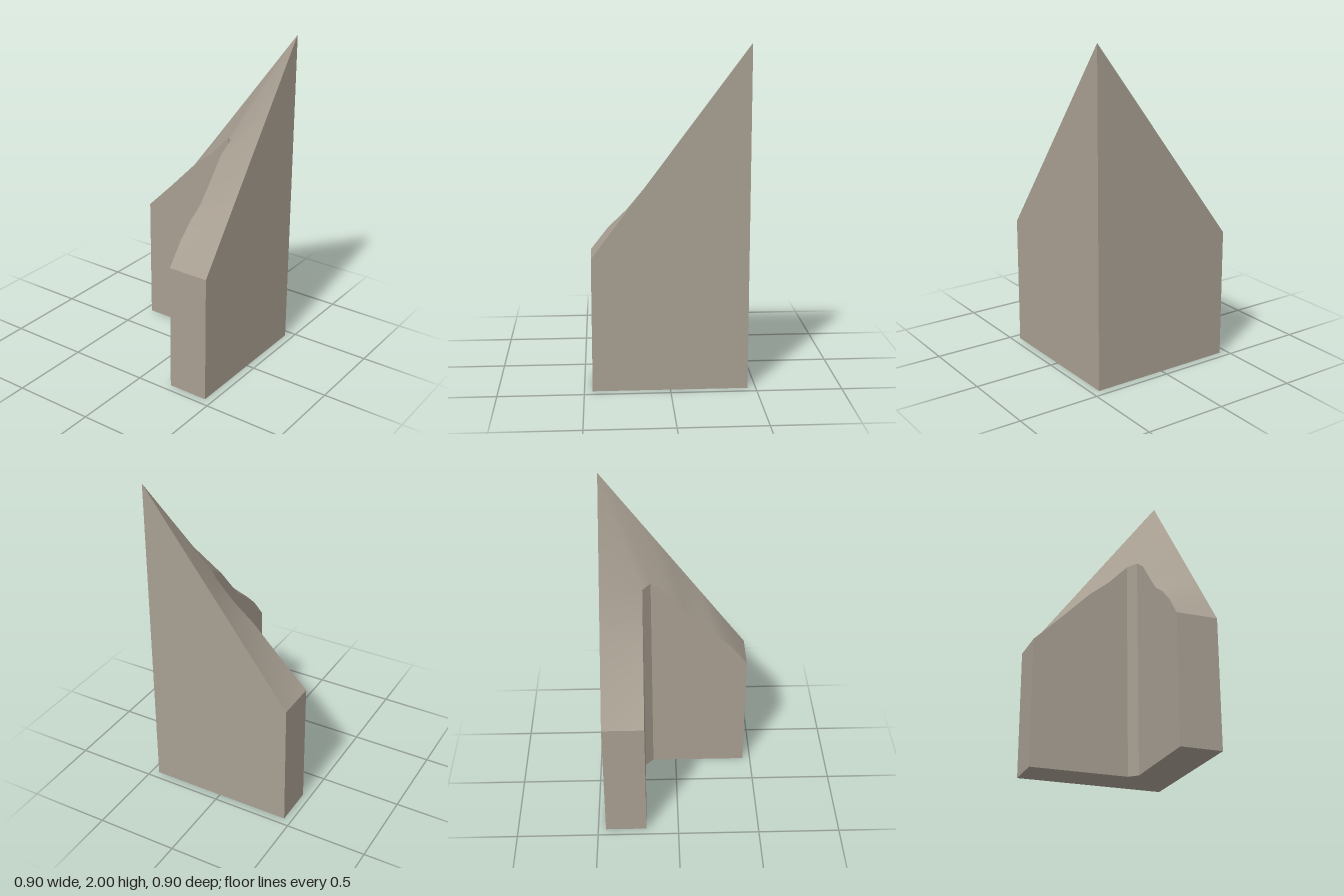
import * as THREE from 'three';
import { mergeVertices } from 'three/addons/utils/BufferGeometryUtils.js';

const HALF = 0.452, INNER = 0.2, END_Y = 0.79;
const outerY = (t) => END_Y + (2 - END_Y) * (t + HALF) / (2 * HALF);

// Height of the worn inner edge along each arm: [position along arm, y]
const SIDE_ARM = [[-HALF, 0.79], [-0.27, 0.97], [-0.1, 1.144], [0.03, 1.251], [0.15, 1.377]];
const FRONT_ARM = [[0.15, 1.39], [0.05, 1.322], [-0.05, 1.2], [-0.15, 1.083], [-0.25, 1.015], [-0.35, 0.92], [-HALF, 0.79]];

// Turns four-cornered faces into a triangle soup, dropping collapsed triangles
function facesToGeometry(faces) {
  const pos = [];
  const tri = (a, b, c) => {
    const n = b.clone().sub(a).cross(c.clone().sub(a));
    if (n.length() > 1e-7) for (const p of [a, b, c]) pos.push(p.x, p.y, p.z);
  };
  for (const [a, b, c, d] of faces) {
    tri(a, b, c);
    tri(a, c, d);
  }
  const g = new THREE.BufferGeometry();
  g.setAttribute('position', new THREE.Float32BufferAttribute(pos, 3));
  return g;
}

export function createModel() {
  const stone = new THREE.MeshStandardMaterial({ color: 0xa89f92 });
  stone.name = 'greyStone';
  const group = new THREE.Group();
  group.name = 'cornerWall';

  // Matching outer and inner edge points, from the back end round the corner
  const V = (x, y, z) => new THREE.Vector3(x, y, z);
  const outer = [], inner = [];
  for (const [z, y] of SIDE_ARM) {
    outer.push(V(HALF, outerY(z), z));
    inner.push(V(INNER, y, z));
  }
  // Peak of the corner, fanned to both ends of the chamfer
  outer.push(V(HALF, 2, HALF), V(HALF, 2, HALF));
  inner.push(inner.at(-1).clone(), V(FRONT_ARM[0][0], FRONT_ARM[0][1], INNER));
  for (const [x, y] of FRONT_ARM) {
    outer.push(V(x, outerY(x), HALF));
    inner.push(V(x, y, INNER));
  }

  const ground = (p) => V(p.x, 0, p.z);
  const top = [], base = [], walls = [];
  for (let i = 0; i < outer.length - 1; i++) {
    const face = [outer[i], inner[i], inner[i + 1], outer[i + 1]];
    top.push(face);
    base.push([...face].reverse().map(ground));
  }
  const ring = [...outer, ...[...inner].reverse()];
  ring.forEach((a, i) => {
    const b = ring[(i + 1) % ring.length];
    walls.push([ground(a), a, b, ground(b)]);
  });

  // Smooth sloping top; flat walls and underside
  const add = (name, geometry) => {
    geometry.computeVertexNormals();
    const mesh = new THREE.Mesh(geometry, stone);
    mesh.name = name;
    group.add(mesh);
  };
  add('slopingTop', mergeVertices(facesToGeometry(top)));
  add('walls', facesToGeometry(walls));
  add('underside', facesToGeometry(base));
  return group;
}
